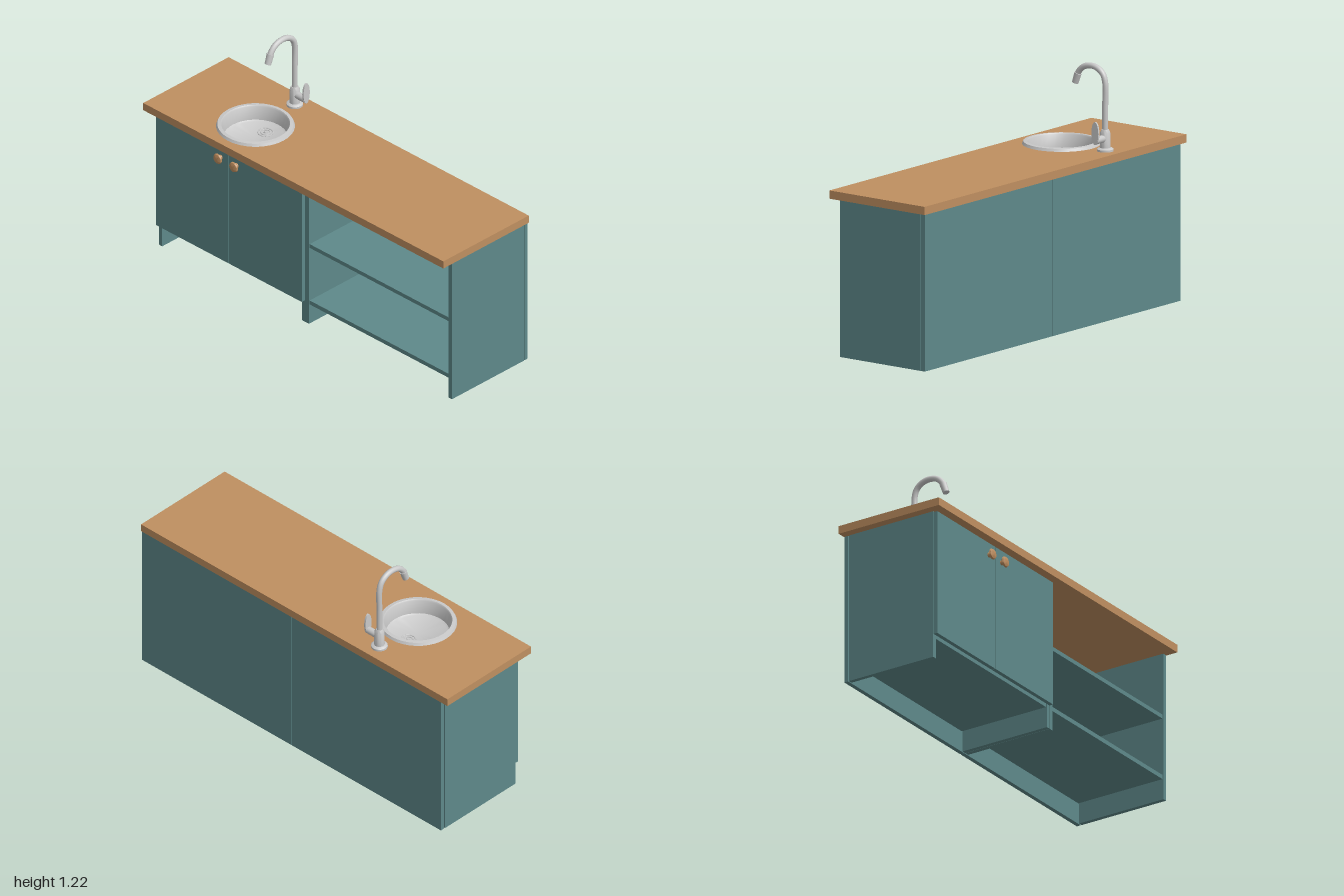
import * as THREE from 'three';
import { toCreasedNormals } from 'three/addons/utils/BufferGeometryUtils.js';

export function createModel() {
  const root = new THREE.Group();
  root.name = 'kitchenUnit';

  const mat = (name, color, side = THREE.FrontSide) => {
    const m = new THREE.MeshStandardMaterial({ color, side });
    m.name = name;
    return m;
  };
  const teal = mat('tealPaint', 0x5e898a);
  const wood = mat('wood', 0xbf8f60);
  const steel = mat('steel', 0xc9c9c9, THREE.DoubleSide);

  const add = (name, geo, material, x = 0, y = 0, z = 0, parent = root) => {
    const m = new THREE.Mesh(geo, material);
    m.name = name;
    m.position.set(x, y, z);
    parent.add(m);
    return m;
  };
  // Box given by its limits on each axis
  const box = (name, x0, x1, y0, y1, z0, z1, material, parent) =>
    add(name, new THREE.BoxGeometry(x1 - x0, y1 - y0, z1 - z0), material,
      (x0 + x1) / 2, (y0 + y1) / 2, (z0 + z1) / 2, parent);
  const lathe = (pts, segments) => toCreasedNormals(
    new THREE.LatheGeometry(pts.map(p => new THREE.Vector2(...p)), segments), 0.6);

  // Two carcasses side by side: sides, floor, back, optional shelf
  const T = 0.022, FRONT = 0.225, TOP = 0.76;
  const cabinet = (name, x0, x1, shelf) => {
    const g = new THREE.Group();
    g.name = name;
    root.add(g);
    box('leftSide', x1 - T, x1, 0, TOP, -0.258, FRONT, teal, g);
    box('rightSide', x0, x0 + T, 0, TOP, -0.258, FRONT, teal, g);
    box('floor', x0 + T, x1 - T, 0.106, 0.128, -0.262, FRONT - 0.005, teal, g);
    box('backPanel', x0 + 0.001, x1 - 0.001, 0, TOP, -0.285, -0.263, teal, g);
    if (shelf) box('shelf', x0 + T, x1 - T, 0.422, 0.443, -0.262, FRONT - 0.005, teal, g);
    return g;
  };
  const closed = cabinet('doorCabinet', -0.957, 0.019, false);
  cabinet('openCabinet', 0.021, 0.996, true);

  // Doors with turned knobs
  const knobGeo = lathe([[0, 0], [0.012, 0], [0.01, 0.012], [0.021, 0.014],
    [0.027, 0.02], [0.024, 0.027], [0.013, 0.031], [0, 0.032]], 24);
  knobGeo.rotateX(Math.PI / 2);
  [[-0.955, -0.471, -0.522], [-0.467, 0.017, -0.416]].forEach(([x0, x1, kx]) => {
    box('door', x0, x1, 0.12, 0.756, FRONT + 0.001, 0.247, teal, closed);
    add('knob', knobGeo, wood, kx, 0.692, 0.247, closed);
  });

  // Worktop with a round cut-out for the sink
  const SX = -0.48, SZ = 0.057;
  const top = new THREE.Shape();
  top.moveTo(-1, -0.287).lineTo(1, -0.287).lineTo(1, 0.287).lineTo(-1, 0.287).closePath();
  top.holes.push(new THREE.Path().absarc(SX, -SZ, 0.168, 0, Math.PI * 2, true));
  const topGeo = new THREE.ExtrudeGeometry(top, { depth: 0.04, bevelEnabled: false, curveSegments: 32 });
  topGeo.rotateX(-Math.PI / 2);
  add('worktop', topGeo, wood, 0, 0.76, 0);

  // Sink bowl and rim
  add('sinkBowl', lathe([[0, 0.733], [0.143, 0.733], [0.152, 0.739], [0.159, 0.808],
    [0.164, 0.815], [0.181, 0.813], [0.187, 0.8]], 36), steel, SX, 0, SZ);

  // Drain: ring, recessed-looking strainer and centre stud
  const drain = new THREE.Group();
  drain.name = 'drain';
  drain.position.set(SX, 0.734, -0.01);
  root.add(drain);
  for (const r of [0.036, 0.022]) {
    const ring = add('drainRing', new THREE.TorusGeometry(r, 0.003, 6, 24), steel, 0, 0, 0, drain);
    ring.rotation.x = Math.PI / 2;
  }
  add('drainStud', new THREE.CylinderGeometry(0.007, 0.009, 0.008, 12), steel, 0, 0.003, 0, drain);

  // Tap
  const tap = new THREE.Group();
  tap.name = 'tap';
  tap.position.set(SX, 0, -0.207);
  root.add(tap);
  add('tapBody', lathe([[0, 0.8], [0.04, 0.8], [0.04, 0.81], [0.034, 0.815], [0.026, 0.817],
    [0.024, 0.89], [0.017, 0.905], [0, 0.905]], 20), steel, 0, 0, 0, tap);
  const neck = new THREE.CatmullRomCurve3([[0.9, 0], [1.02, 0], [1.13, 0], [1.17, 0.014],
    [1.194, 0.044], [1.202, 0.085], [1.19, 0.132], [1.158, 0.163], [1.125, 0.175]]
    .map(([y, z]) => new THREE.Vector3(0, y, z)));
  add('spout', new THREE.TubeGeometry(neck, 40, 0.0145, 12), steel, 0, 0, 0, tap);
  const tip = add('spoutTip', new THREE.CylinderGeometry(0.018, 0.016, 0.052, 14), steel, 0, 1.132, 0.172, tap);
  tip.rotation.x = -0.34;

  // Side lever: stub and thin oval handle
  const stub = add('leverStub', new THREE.CylinderGeometry(0.018, 0.018, 0.06, 14), steel, 0.047, 0.862, 0, tap);
  stub.rotation.z = Math.PI / 2;
  const blade = add('lever', new THREE.CylinderGeometry(1, 1, 1, 20), steel, 0.075, 0.897, 0, tap);
  blade.rotation.z = Math.PI / 2;
  blade.scale.set(0.056, 0.009, 0.021);

  return root;
}
